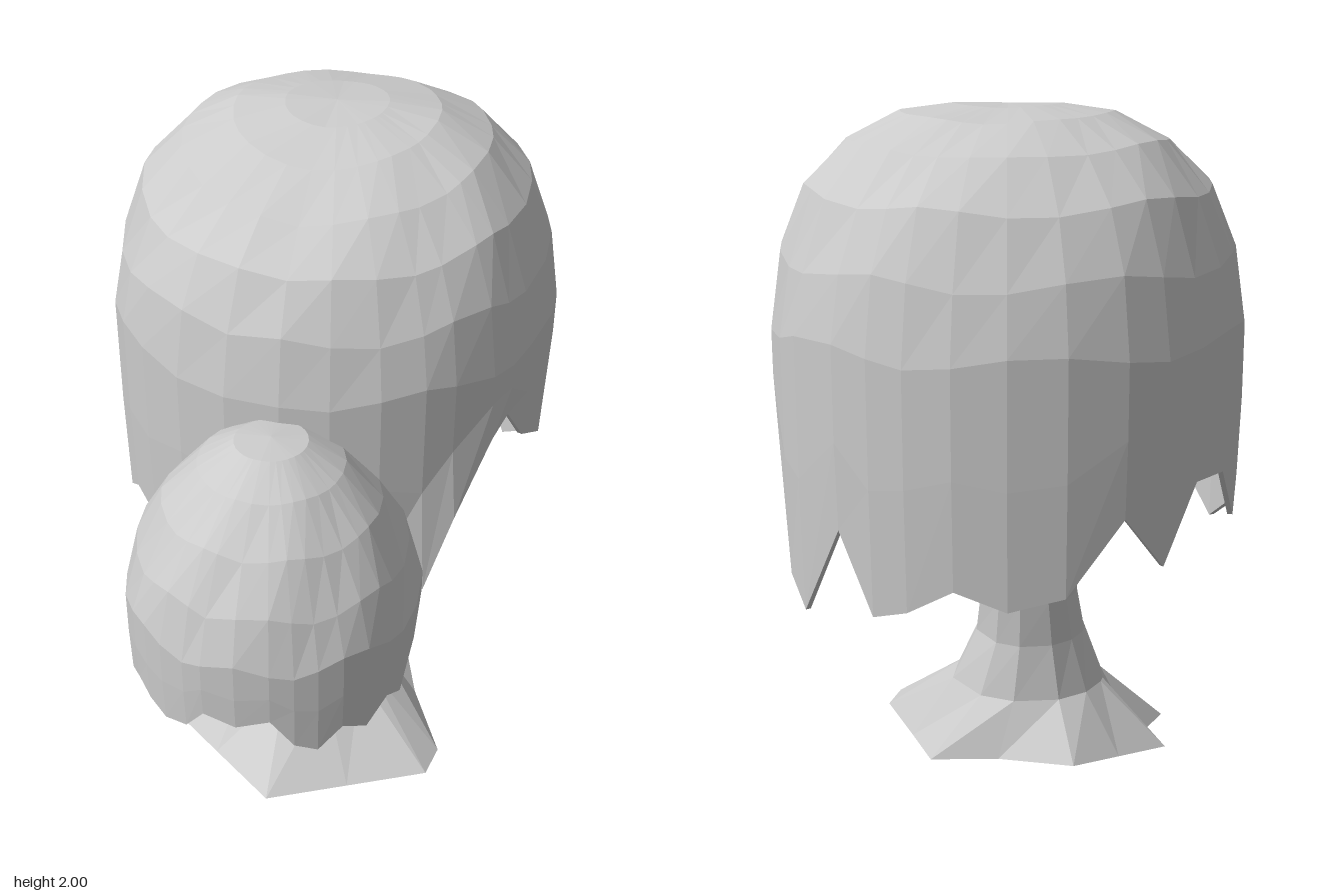
import * as THREE from 'three';

const material = new THREE.MeshStandardMaterial({ color: 0xcccccc, flatShading: true, side: THREE.DoubleSide });

// Skins a list of closed rings, ordered from top to bottom.
function loft(name, rings) {
  const n = rings[0].length;
  const index = [];
  for (let i = 0; i + 1 < rings.length; i++) {
    for (let j = 0; j < n; j++) {
      const k = (j + 1) % n;
      const a = i * n + j, b = i * n + k, c = a + n, d = b + n;
      index.push(c, d, b, c, b, a);
    }
  }
  const geometry = new THREE.BufferGeometry();
  geometry.setAttribute('position', new THREE.Float32BufferAttribute(rings.flat(2), 3));
  geometry.setIndex(index);
  const flat = geometry.toNonIndexed();
  flat.computeVertexNormals();
  const mesh = new THREE.Mesh(flat, material);
  mesh.name = name;
  return mesh;
}

// Dome of hanging leaves: profile = [radius, y], hem = [degrees, y, flare].
// Angles run from the front (+z) towards +x. The shell folds back inside at the hem.
// slump lowers the front shoulder of the dome and lifts its sides.
function canopy(name, cz, sx, sz, slump, profile, hem) {
  const thickness = 0.015;
  const [rimR, rimY] = profile[profile.length - 1];
  const point = (deg, r, y) => {
    const t = THREE.MathUtils.degToRad(deg);
    return [Math.sin(t) * r * sx, y, cz + Math.cos(t) * r * sz];
  };
  // Unevenness grows from nothing at the crown to a full wave at the rim.
  const dome = (inset) => profile.map(([r, y], i) => hem.map(([deg], j) => {
    const t = THREE.MathUtils.degToRad(deg);
    const u = r / rimR;
    const wobble = 0.02 * u ** 3 * Math.sin(j * 1.3 + i * 1.7);
    const shoulder = slump * 6 * u * u * (1 - u) * (0.5 * Math.abs(Math.sin(t)) - Math.max(0, Math.cos(t)));
    return point(deg, Math.max(0, r - inset), y - inset * (1 - u) + wobble + shoulder);
  }));
  const curtain = (inset) => [
    hem.map(([deg, y]) => point(deg, rimR - inset, rimY + (y - rimY) * 0.5)),
    hem.map(([deg, y, flare = 0.99]) => point(deg, rimR * flare - inset, y)),
  ];
  const outside = [...dome(0), ...curtain(0)];
  const inside = [...dome(thickness), ...curtain(thickness)].reverse();
  return loft(name, [...outside, ...inside]);
}

// Leaning trunk with a spreading root base
function trunk() {
  const roots = [
    [-0.03, 0.55], [0.2, 0.43], [0.43, 0.31], [0.45, 0.2], [0.33, -0.04], [0.23, -0.31], [0.03, -0.27],
    [-0.2, -0.31], [-0.33, -0.18], [-0.47, -0.04], [-0.38, 0.03], [-0.455, 0.21], [-0.24, 0.38],
  ];
  // [y, centre x, centre z, radius x, radius z]
  const sections = [
    [1.6, 0, -0.24, 0.05, 0.05], [1.3, 0, -0.22, 0.08, 0.09], [1.1, -0.01, -0.2, 0.1, 0.11],
    [0.9, -0.02, -0.17, 0.11, 0.11], [0.7, -0.04, -0.09, 0.14, 0.12],
    [0.52, -0.04, -0.03, 0.15, 0.15], [0.38, -0.04, 0.01, 0.17, 0.18], [0.21, -0.03, 0.03, 0.24, 0.22],
  ];
  const rings = sections.map(([y, cx, cz, rx, rz]) => roots.map(([x, z]) => {
    const t = Math.atan2(x, z - 0.06);
    return [cx + Math.sin(t) * rx, y, cz + Math.cos(t) * rz];
  }));
  rings.push(roots.map(([x, z]) => [x, Math.max(0, (z - 0.3) * 0.08, -z * 0.21), z]));
  rings.push(roots.map(() => [0, 0.01, 0.08])); // underside
  return loft('trunk', rings);
}

// Straight tapering limb between two points
function branch(name, from, to, r0, r1) {
  const a = new THREE.Vector3(...from), b = new THREE.Vector3(...to);
  const mesh = new THREE.Mesh(new THREE.CylinderGeometry(r1, r0, a.distanceTo(b), 6), material);
  mesh.position.copy(a).add(b).multiplyScalar(0.5);
  mesh.quaternion.setFromUnitVectors(new THREE.Vector3(0, 1, 0), b.clone().sub(a).normalize());
  mesh.name = name;
  return mesh;
}

export function createModel() {
  const tree = new THREE.Group();
  tree.name = 'willowTree';
  tree.add(trunk());
  tree.add(branch('frontBranch', [-0.02, 0.74, -0.08], [0, 1.02, 0.36], 0.075, 0.035));

  // Tall rear crown, torn open on the +x side
  tree.add(canopy('largeCanopy', -0.245, 0.975, 1.015, 0.06,
    [[0, 1.998], [0.15, 1.992], [0.3, 1.96], [0.45, 1.885], [0.57, 1.765], [0.64, 1.6], [0.673, 1.42]],
    [
      [0, 0.85], [12, 0.92], [24, 0.85], [35, 0.78, 1.05], [43, 1.0, 1.04], [55, 1.2, 1.01], [62, 1.24],
      [70, 1.12], [84, 1.03], [97, 1.17], [107, 1.14], [120, 0.75], [129, 0.68], [144, 0.95],
      [154, 0.74], [163, 0.77], [174, 0.84], [186, 0.79], [199, 0.82], [213, 1.01], [224, 0.86],
      [235, 1.06], [248, 1.05], [259, 0.89], [268, 0.98], [279, 0.85], [293, 0.76], [306, 0.86],
      [318, 0.83], [332, 0.9], [346, 0.83],
    ]));

  // Small front crown
  tree.add(canopy('smallCanopy', 0.515, 1, 1, 0,
    [[0, 1.365], [0.1, 1.355], [0.2, 1.29], [0.3, 1.18], [0.375, 1.04], [0.415, 0.9]],
    [
      [0, 0.7], [13, 0.73], [22, 0.64], [31, 0.61], [41, 0.67], [52, 0.63], [63, 0.69], [72, 0.66],
      [85, 0.78], [102, 0.8], [118, 0.72], [130, 0.58], [140, 0.66], [157, 0.61], [174, 0.75],
      [190, 0.66], [205, 0.63], [220, 0.74], [235, 0.67], [252, 0.78], [266, 0.74], [280, 0.72],
      [294, 0.62], [308, 0.67], [318, 0.65], [328, 0.63], [339, 0.65], [347, 0.72],
    ]));
  return tree;
}
